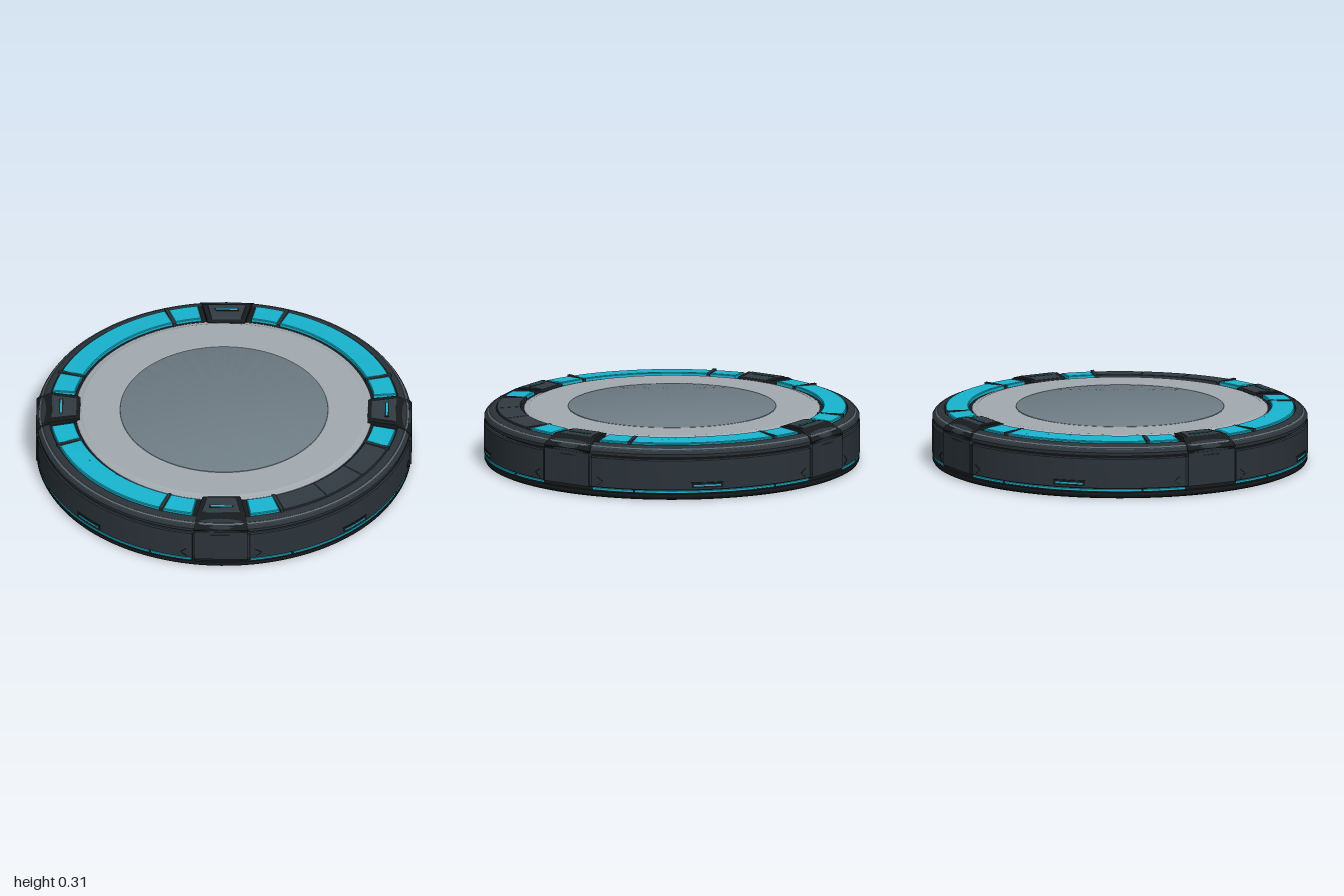
import * as THREE from 'three';
import { toCreasedNormals } from 'three/addons/utils/BufferGeometryUtils.js';

const rad = THREE.MathUtils.degToRad;
const mat = (color) => new THREE.MeshStandardMaterial({ color });
const M = {
  black: mat(0x171b1e), body: mat(0x2b3339), panel: mat(0x323b42), trim: mat(0x5c6870),
  cyan: mat(0x18b4d0), plate: mat(0xa2aab1), lens: mat(0x6f7d85),
};

function add(parent, name, geometry, material) {
  const mesh = new THREE.Mesh(geometry, material);
  mesh.name = name;
  parent.add(mesh);
  return mesh;
}

// Round part from [radius, height] pairs, running from the bottom outwards and up
function turned(points, start = 0, sweep = 360) {
  const pts = points.map(([r, y]) => new THREE.Vector2(r, y));
  const seg = Math.max(2, Math.round(sweep / 2.5));
  return toCreasedNormals(new THREE.LatheGeometry(pts, seg, rad(start), rad(sweep)), 0.4);
}

// Bevelled ring sector; angles run from the front (+z) towards +x
function sector(r0, r1, from, to, y0, y1, bevel = 0.004) {
  const a = rad(from - 90), b = rad(to - 90);
  const shape = new THREE.Shape();
  shape.absarc(0, 0, r1 - bevel, a, b, false);
  shape.absarc(0, 0, r0 + bevel, b, a, true);
  const geo = new THREE.ExtrudeGeometry(shape, {
    depth: y1 - y0 - bevel, bevelEnabled: true, bevelThickness: bevel, bevelSize: bevel,
    bevelSegments: 1, curveSegments: 24,
  });
  geo.rotateX(-Math.PI / 2).translate(0, y0, 0);
  // the ring falls gently towards the outside
  const p = geo.attributes.position;
  for (let i = 0; i < p.count; i++) {
    const r = Math.hypot(p.getX(i), p.getZ(i));
    p.setY(i, p.getY(i) - (r - r0) * 0.06);
  }
  return toCreasedNormals(geo, 0.4);
}

// Profile in (radius, height) extruded sideways, half-width changing with radius
function wedge(points, halfAt) {
  const shape = new THREE.Shape(points.map(([r, y]) => new THREE.Vector2(r, y)));
  const geo = new THREE.ExtrudeGeometry(shape, { depth: 2, bevelEnabled: false });
  geo.translate(0, 0, -1);
  const p = geo.attributes.position;
  for (let i = 0; i < p.count; i++) p.setZ(i, p.getZ(i) * halfAt(p.getX(i)));
  geo.computeVertexNormals();
  return geo;
}

// Group whose +x axis points outwards at the given angle
function spoke(parent, name, angle) {
  const g = new THREE.Group();
  g.name = name;
  g.rotation.y = rad(angle - 90);
  parent.add(g);
  return g;
}

function box(parent, name, size, pos, material) {
  const mesh = add(parent, name, new THREE.BoxGeometry(...size), material);
  mesh.position.set(...pos);
  return mesh;
}

function createClamp(parent, angle) {
  const g = spoke(parent, 'cornerClamp', angle);
  const taper = (r) => THREE.MathUtils.mapLinear(r, 0.77, 1, 0.1, 0.146);
  add(g, 'clampWall', wedge([[0.9, 0.056], [0.998, 0.056], [0.998, 0.236], [0.9, 0.236]], () => 0.142), M.body);
  add(g, 'clampTop', wedge([
    [0.76, 0.275], [0.9, 0.24], [0.99, 0.236], [0.998, 0.25], [0.985, 0.266],
    [0.915, 0.305], [0.785, 0.305], [0.765, 0.298],
  ], taper), M.black);
  add(g, 'clampPlate', wedge([
    [0.785, 0.29], [0.925, 0.29], [0.915, 0.306], [0.905, 0.31], [0.795, 0.31], [0.785, 0.306],
  ], (r) => taper(r) - 0.026), M.panel);
  box(g, 'clampSlot', [0.022, 0.003, 0.13], [0.866, 0.31, 0], M.black);
  box(g, 'clampLight', [0.01, 0.003, 0.115], [0.866, 0.3115, 0], M.cyan);
}

export function createModel() {
  const model = new THREE.Group();
  model.name = 'roundPad';

  // Turned body
  add(model, 'base', turned([
    [0, 0], [0.975, 0], [0.99, 0.007], [0.997, 0.02], [0.997, 0.034], [0.99, 0.038], [0.99, 0.056],
  ]), M.black);
  add(model, 'sideWall', turned([[0.985, 0.054], [1, 0.058], [1, 0.216], [0.994, 0.222], [0.975, 0.222]]), M.body);
  add(model, 'shadowGroove', turned([[0.978, 0.215], [0.978, 0.24]]), M.black);
  add(model, 'topRim', turned([
    [0.97, 0.23], [0.996, 0.232], [0.998, 0.25], [0.99, 0.263], [0.965, 0.281], [0.945, 0.288], [0.935, 0.288], [0.932, 0.275],
  ]), M.body);
  add(model, 'rimTrim', turned([[0.985, 0.264], [0.983, 0.2705], [0.974, 0.277], [0.97, 0.276]]), M.trim);
  add(model, 'ringBed', turned([[0.94, 0.279], [0.78, 0.287]]), M.black);
  add(model, 'topPlate', turned([
    [0.79, 0.27], [0.788, 0.29], [0.78, 0.295], [0.765, 0.296], [0.755, 0.301], [0.56, 0.301], [0.553, 0.298], [0, 0.298],
  ]), M.plate);
  add(model, 'centreDisc', turned([[0.553, 0.298], [0.552, 0.3005], [0.548, 0.302], [0, 0.302]]), M.lens);

  for (let q = 0; q < 4; q++) {
    const mid = q * 90;
    createClamp(model, mid + 45);

    // Top ring: the front has three plain panels, the other sides a long light
    if (q === 0) {
      for (const [a, b] of [[-24, -8.2], [-7.8, 7.8], [8.2, 24]])
        add(model, 'ringPanel', sector(0.805, 0.932, a, b, 0.27, 0.304, 0.003), M.panel);
    } else {
      add(model, 'ringLight', sector(0.805, 0.928, mid - 24, mid + 24, 0.27, 0.305), M.cyan);
    }

    for (const s of [-1, 1]) {
      const [a, b] = [mid + s * 25.7, mid + s * 35.2];
      add(model, 'ringLightEnd', sector(0.805, 0.928, Math.min(a, b), Math.max(a, b), 0.27, 0.305), M.cyan);
      const bar = spoke(model, 'ringDivider', mid + s * 24.85);
      box(bar, 'dividerBar', [0.145, 0.03, 0.017], [0.868, 0.289, 0], M.body);

      // Side strip, seams and small arrow marks
      const strip = [[0.988, 0.04], [0.997, 0.041], [0.997, 0.051], [0.988, 0.053]];
      add(model, 'stripLightEnd', turned(strip, s > 0 ? mid + 22.9 : mid - 36, 13.1), M.cyan);
      const seam = spoke(model, 'wallSeam', mid + s * 36.2);
      box(seam, 'seamLine', [0.01, 0.165, 0.006], [0.997, 0.138, 0], M.black);
      const mark = spoke(model, 'arrowMark', mid + s * 33.5);
      for (const t of [-1, 1]) {
        const stroke = box(mark, 'arrowStroke', [0.004, 0.004, 0.04], [1, 0.09 + t * 0.012, 0], M.black);
        stroke.rotation.x = t * s * 0.6;
      }
    }
    add(model, 'stripLight', turned([[0.988, 0.04], [0.997, 0.041], [0.997, 0.051], [0.988, 0.053]], mid - 22.3, 44.6), M.cyan);

    // Side port with a glowing slit
    add(model, 'portFrame', turned([[0.995, 0.066], [1.004, 0.068], [1.004, 0.096], [0.995, 0.098]], mid - 5, 10), M.black);
    add(model, 'portLight', turned([[1.002, 0.076], [1.0055, 0.077], [1.0055, 0.085], [1.002, 0.086]], mid - 4.2, 8.4), M.cyan);
  }
  return model;
}
